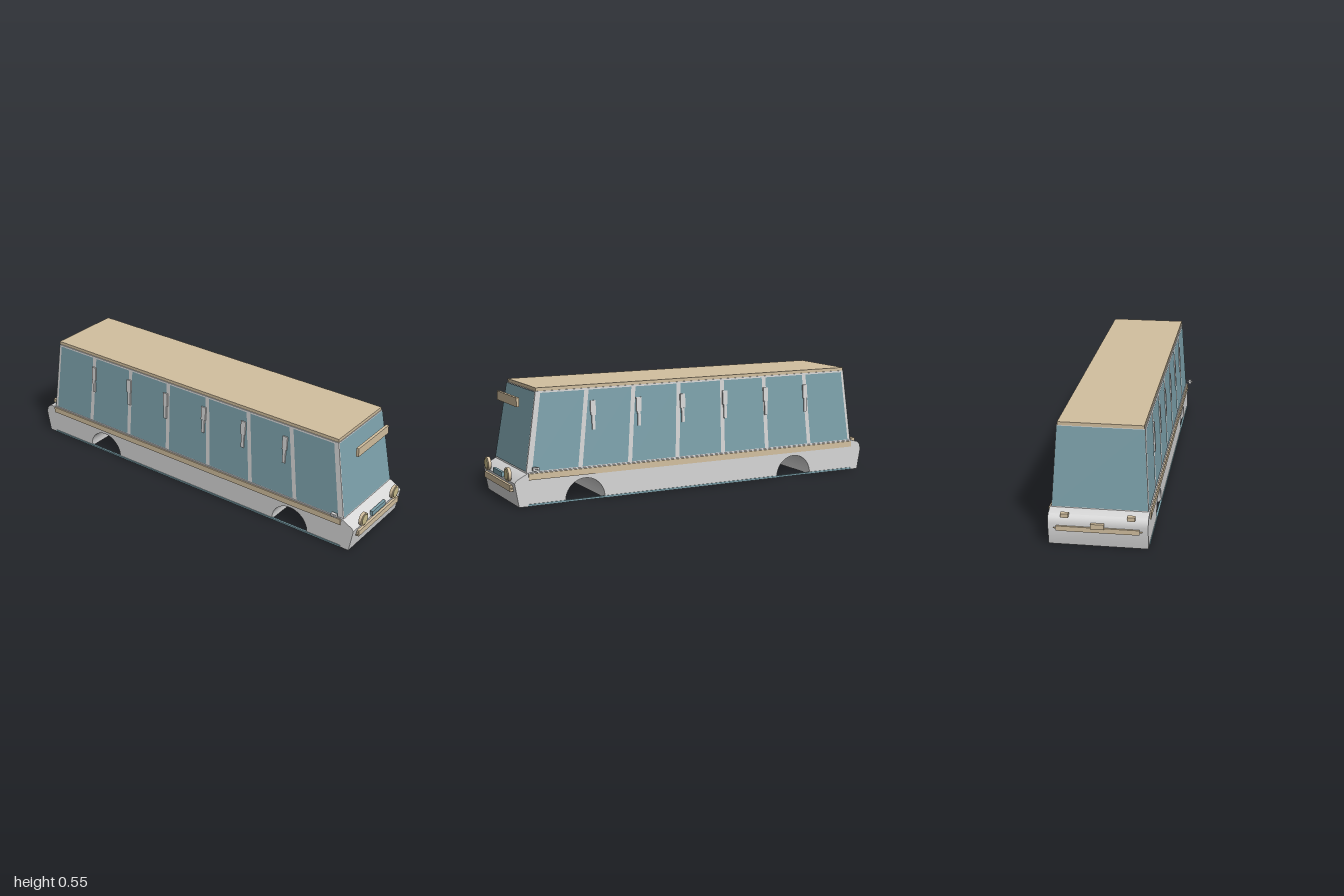
import * as THREE from 'three';
import { toCreasedNormals } from 'three/addons/utils/BufferGeometryUtils.js';

export function createModel() {
  const bus = new THREE.Group();
  bus.name = 'bus';
  const material = (name, color, side = THREE.FrontSide) => {
    const m = new THREE.MeshStandardMaterial({ color, side });
    m.name = name;
    return m;
  };
  const grey = material('light grey paint', 0xd6d6d6);
  const tan = material('tan trim', 0xd2bf9f);
  const teal = material('teal glass', 0x7ca1ab, THREE.DoubleSide);
  const lens = material('lamp lens', 0xc9bc8b);

  const add = (name, geometry, mat) => {
    const mesh = new THREE.Mesh(geometry, mat);
    mesh.name = name;
    bus.add(mesh);
    return mesh;
  };
  // Box given by its low and high corners
  const box = (name, mat, [x0, y0, z0], [x1, y1, z1]) => {
    const mesh = add(name, new THREE.BoxGeometry(x1 - x0, y1 - y0, z1 - z0), mat);
    mesh.position.set((x0 + x1) / 2, (y0 + y1) / 2, (z0 + z1) / 2);
    return mesh;
  };
  const quad = (name, a, b, c, d) => {
    const g = new THREE.BufferGeometry();
    g.setAttribute('position', new THREE.Float32BufferAttribute([a, b, c, d].flat(), 3));
    g.setIndex([0, 1, 2, 0, 2, 3]);
    g.computeVertexNormals();
    add(name, g, teal);
  };

  // Lower body: side profile with wheel arches cut right across
  const profile = new THREE.Shape();
  profile.moveTo(-0.965, 0.003);
  for (const z of [-0.555, 0.63]) {
    profile.lineTo(z - 0.102, 0.003);
    profile.absarc(z, 0.01, 0.102, Math.PI, 0, true);
    profile.lineTo(z + 0.102, 0.003);
  }
  [[0.965, 0.003], [0.985, 0.118], [0.975, 0.132], [0.925, 0.158], [0.915, 0.163],
    [-0.925, 0.163], [-0.965, 0.152], [-0.978, 0.138], [-0.985, 0.112]]
    .forEach(([z, y]) => profile.lineTo(z, y));
  profile.closePath();
  const body = new THREE.ExtrudeGeometry(profile, { depth: 0.452, bevelEnabled: false, curveSegments: 24 });
  body.rotateY(-Math.PI / 2).translate(0.226, 0, 0);
  add('lowerBody', toCreasedNormals(body, 0.5), grey);

  // Cabin: a box tapered towards the roof
  const Y0 = 0.16, Y1 = 0.54;
  const lerp = THREE.MathUtils.lerp;
  const rise = (y) => (y - Y0) / (Y1 - Y0);
  const wallX = (y) => lerp(0.22, 0.198, rise(y));
  const frontZ = (y) => lerp(0.925, 0.863, rise(y));
  const rearZ = (y) => lerp(-0.92, -0.878, rise(y));
  const cabin = new THREE.BoxGeometry(2, Y1 - Y0, 2).translate(0, (Y0 + Y1) / 2, 0);
  const p = cabin.attributes.position;
  for (let i = 0; i < p.count; i++) {
    const y = p.getY(i);
    p.setX(i, p.getX(i) * wallX(y));
    p.setZ(i, p.getZ(i) > 0 ? frontZ(y) : rearZ(y));
  }
  cabin.computeVertexNormals();
  add('cabin', cabin, grey);
  box('roof', tan, [-0.194, 0.54, -0.88], [0.194, 0.556, 0.86]);

  // Windscreen and rear window cover the whole end walls
  for (const [name, zAt, off] of [['windscreen', frontZ, 0.003], ['rearWindow', rearZ, -0.003]]) {
    const [lo, hi] = [0.168, 0.538];
    const s = Math.sign(off), xl = s * (wallX(lo) - 0.002), xh = s * (wallX(hi) - 0.002);
    quad(name, [-xl, lo, zAt(lo) + off], [xl, lo, zAt(lo) + off],
      [xh, hi, zAt(hi) + off], [-xh, hi, zAt(hi) + off]);
  }

  // Seven panes per side, separated by leaning pillars
  const [lo, hi] = [0.168, 0.532];
  const edgesLow = [0.907], edgesHigh = [0.851];
  for (let i = 0; i < 6; i++) {
    edgesLow.push(0.652 - i * 0.2608);
    edgesHigh.push(0.607 - i * 0.2466);
  }
  edgesLow.push(-0.913);
  edgesHigh.push(-0.874);
  for (const s of [1, -1]) {
    const side = s > 0 ? 'left' : 'right';
    const xl = s * (wallX(lo) + 0.002), xh = s * (wallX(hi) + 0.002);
    for (let i = 0; i < 7; i++) {
      const h = s * 0.011;
      const low = [edgesLow[i] - 0.011, edgesLow[i + 1] + 0.011];
      const high = [edgesHigh[i] - 0.011, edgesHigh[i + 1] + 0.011];
      if (h < 0) { low.reverse(); high.reverse(); }
      quad(side + 'Window', [xl, lo, low[0]], [xl, lo, low[1]], [xh, hi, high[1]], [xh, hi, high[0]]);
    }

    // Upright window handles, wider in the upper half
    for (let i = 0; i < 6; i++) {
      const z = 0.58 - i * 0.2415;
      for (const [y0, y1, w] of [[0.41, 0.48, 0.027], [0.34, 0.41, 0.016]]) {
        const y = (y0 + y1) / 2;
        const handle = add(side + 'WindowHandle', new THREE.BoxGeometry(0.008, y1 - y0, w), grey);
        handle.position.set(s * (wallX(y) + 0.004), y, z - 0.002);
        handle.rotation.z = s * Math.atan(0.022 / 0.38);
      }
    }

    // Side trim
    const strip = (name, mat, y0, y1, z0, z1, out) =>
      box(side + name, mat, [s > 0 ? 0.22 : -out, y0, z0], [s > 0 ? out : -0.22, y1, z1]);
    strip('Stripe', tan, 0.129, 0.159, -0.92, 0.915, 0.232);
    strip('Sill', teal, 0.005, 0.014, -0.92, 0.92, 0.23);

    // Mirror with a thin crossbar
    box(side + 'Mirror', grey, [s * 0.245 - 0.008, 0.174, 0.872], [s * 0.245 + 0.008, 0.191, 0.902]);
    box(side + 'MirrorBar', grey, [s * 0.245 - 0.016, 0.181, 0.88], [s * 0.245 + 0.016, 0.184, 0.894]);

    // Lamps
    const disc = (name, r, z0, z1, mat) => {
      const g = new THREE.CylinderGeometry(r, r, z1 - z0, 32).rotateX(Math.PI / 2);
      add(side + name, g, mat).position.set(s * 0.147, 0.15, (z0 + z1) / 2);
    };
    disc('HeadlightRim', 0.033, 0.982, 0.997, tan);
    disc('HeadlightLens', 0.026, 0.99, 1, lens);
    box(side + 'TailLight', tan, [s * 0.15 - 0.018, 0.143, -0.988], [s * 0.15 + 0.018, 0.162, -0.965]);
  }

  // Front fittings
  box('destinationSign', tan, [-0.138, 0.463, 0.922], [0.138, 0.507, 0.936]);
  box('frontPlate', teal, [-0.062, 0.12, 0.978], [0.062, 0.145, 0.992]);
  box('frontBumper', tan, [-0.188, 0.074, 0.975], [0.188, 0.104, 0.995]);
  box('frontBumperRod', tan, [-0.2, 0.088, 0.984], [0.2, 0.091, 0.992]);

  // Rear fittings
  box('rearBumper', tan, [-0.188, 0.08, -0.992], [0.188, 0.103, -0.972]);
  box('rearBumperRod', tan, [-0.2, 0.09, -0.99], [0.2, 0.093, -0.982]);
  box('rearPlate', tan, [-0.03, 0.1, -1], [0.03, 0.124, -0.984]);

  return bus;
}
